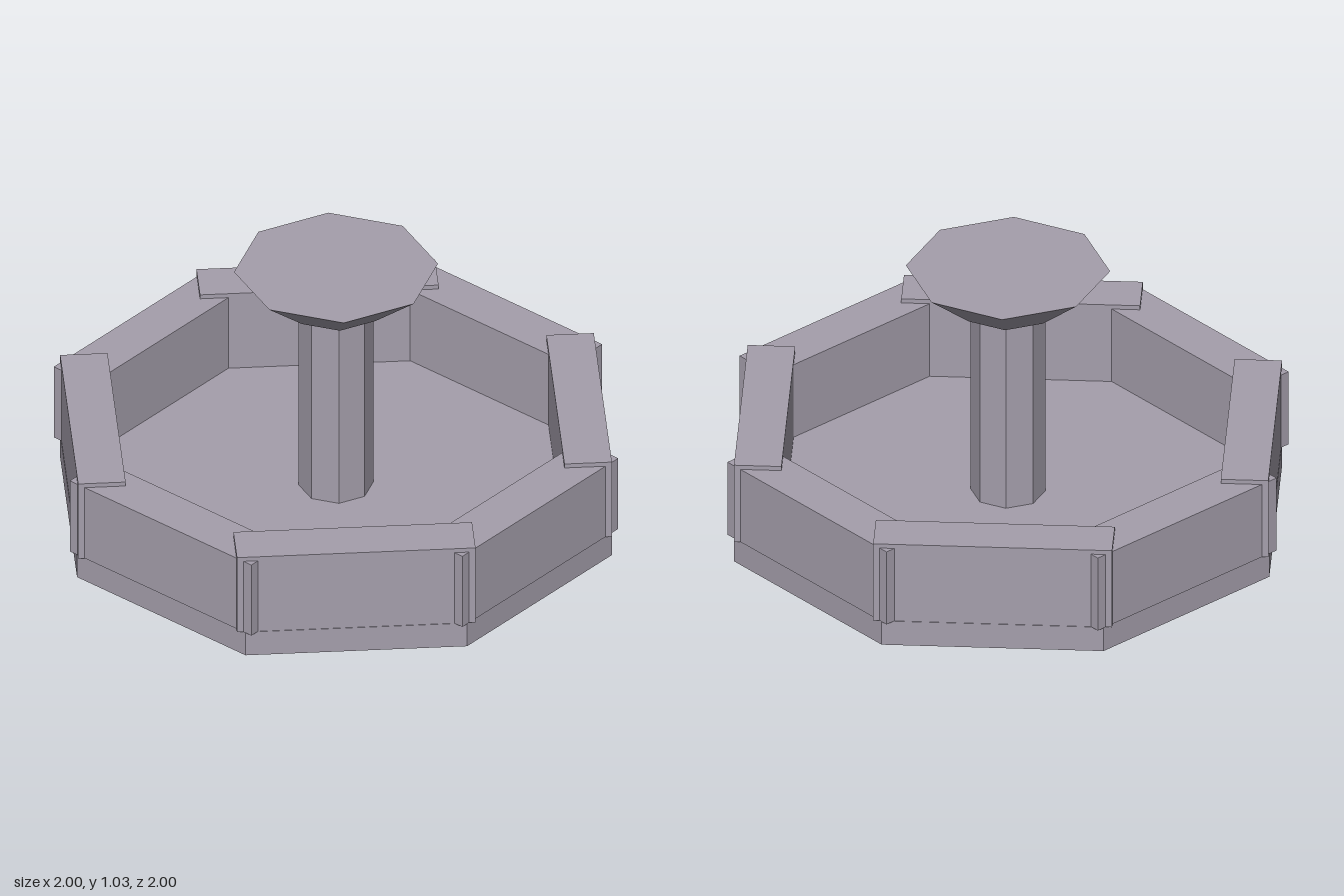
import * as THREE from 'three';

const stone = new THREE.MeshStandardMaterial({ color: 0xa59fac });
stone.name = 'greyStone';

// Eight-sided prism or frustum standing between two heights
function octagon(name, topRadius, bottomRadius, y0, y1, turn = 0) {
  const geo = new THREE.CylinderGeometry(topRadius, bottomRadius, y1 - y0, 8).toNonIndexed();
  geo.rotateY(turn);
  geo.translate(0, (y0 + y1) / 2, 0);
  geo.computeVertexNormals(); // faceted sides
  const mesh = new THREE.Mesh(geo, stone);
  mesh.name = name;
  return mesh;
}

// Wall block lying against one side of the basin
function wallBlock(name, inner, outer, y0, y1, angle) {
  const geo = new THREE.BoxGeometry(0.87, y1 - y0, outer - inner);
  geo.translate(0, (y0 + y1) / 2, (inner + outer) / 2);
  const mesh = new THREE.Mesh(geo, stone);
  mesh.name = name;
  mesh.rotation.y = angle;
  return mesh;
}

export function createModel() {
  const model = new THREE.Group();
  model.name = 'fountain';

  // Floor slab, flat sides facing the axes
  const baseRadius = 0.975 / Math.cos(Math.PI / 8);
  model.add(octagon('basinFloor', baseRadius, baseRadius, 0, 0.1, Math.PI / 8));

  // Ring of overlapping blocks; those on the axes stand slightly higher
  const walls = new THREE.Group();
  walls.name = 'basinWalls';
  for (let i = 0; i < 8; i++) {
    const angle = (i * Math.PI) / 4;
    walls.add(i % 2 === 0
      ? wallBlock('tallWall', 0.8, 0.973, 0.1, 0.422, angle)
      : wallBlock('lowWall', 0.8, 0.979, 0.1, 0.405, angle));
  }
  model.add(walls);

  // Central column and flared bowl
  model.add(octagon('column', 0.137, 0.137, 0.1, 0.88));
  model.add(octagon('bowl', 0.372, 0.19, 0.88, 1.03));

  return model;
}
